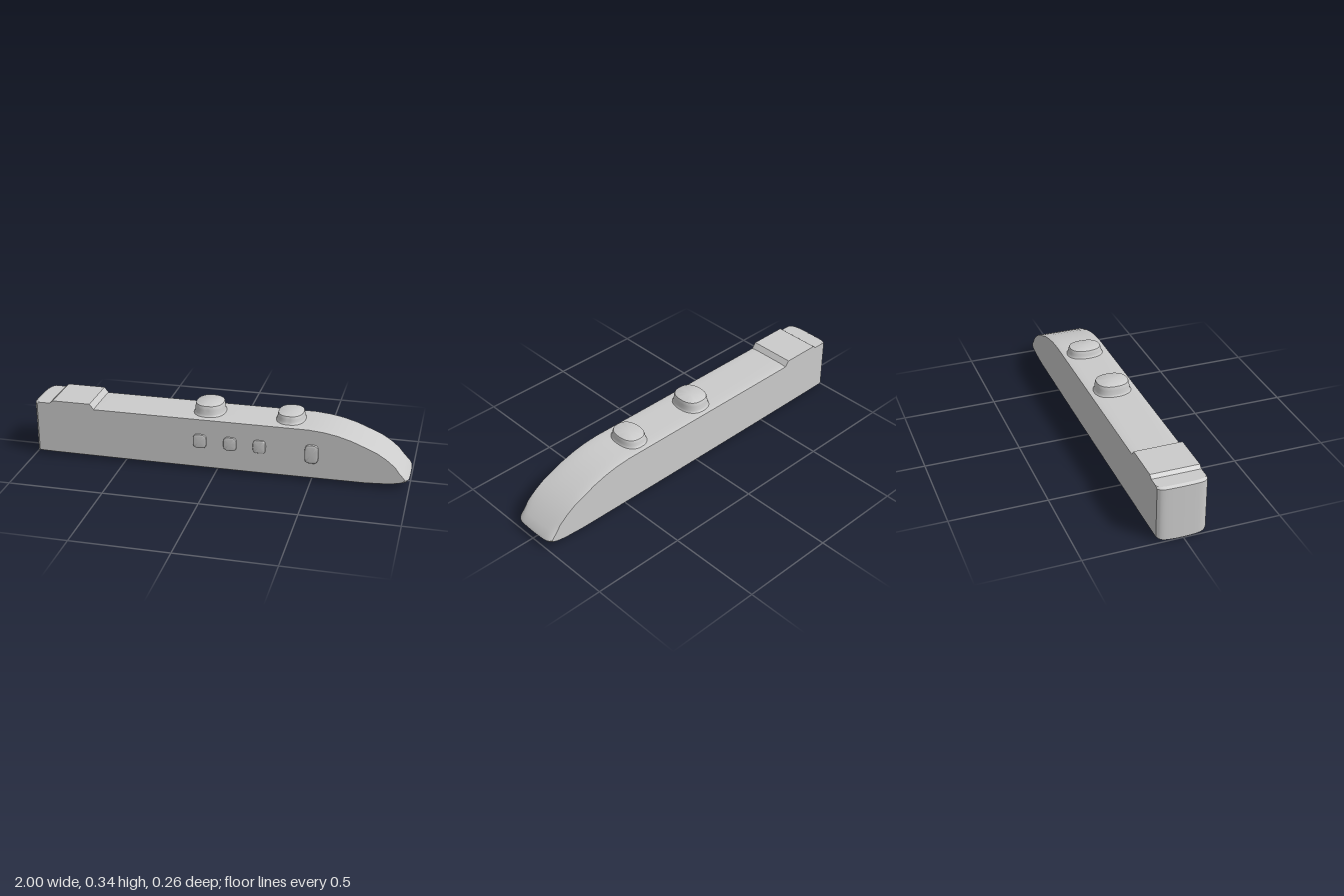
import * as THREE from 'three';
import { toCreasedNormals } from 'three/addons/utils/BufferGeometryUtils.js';

const material = new THREE.MeshStandardMaterial({ color: 0xcccccc });
const BACK = -0.13, FRONT = 0.12;

// Side outline of the body, counter-clockwise in x and y
const OUTLINE = [
  [-1, 0.004], [-0.9, 0.002], [-0.4, 0], [0.2, 0], [0.78, 0.004], [0.9, 0.013], [0.96, 0.024],
  [0.99, 0.034], [1, 0.048], [0.993, 0.062], [0.965, 0.09], [0.93, 0.123], [0.88, 0.16],
  [0.83, 0.191], [0.77, 0.22], [0.7, 0.248], [0.63, 0.268], [0.56, 0.281], [0.48, 0.288],
  [-0.662, 0.288], [-0.685, 0.313], [-0.89, 0.313], [-0.908, 0.298], [-0.985, 0.298], [-1, 0.29],
];

// Bow the ends and underside so that they soften towards the flat sides
function bodyPoint([x, y], u) {
  const bow = 0.004 * u * u + 0.018 * Math.abs(u) ** 9;
  const end = THREE.MathUtils.smoothstep(Math.abs(x), 0.9, 1);
  const low = Math.max(0, 1 - y / 0.08);
  const deck = y > 0.2 && y < 0.29 ? 0.004 * Math.abs(u) ** 6 : 0;
  const z = THREE.MathUtils.lerp(BACK, FRONT, (u + 1) / 2);
  return [x - Math.sign(x) * end * bow, y + low * (0.007 * u * u + 0.011 * Math.abs(u) ** 8) - deck, z];
}

function bodyGeometry() {
  const rows = 24, n = OUTLINE.length, positions = [], index = [];
  for (let i = 0; i <= rows; i++) {
    const u = Math.sin((i / rows - 0.5) * Math.PI); // closer rows near the sides
    for (const p of OUTLINE) positions.push(...bodyPoint(p, u));
  }
  for (let i = 0; i < rows; i++) {
    for (let j = 0; j < n; j++) {
      const k = (j + 1) % n, a = i * n + j, b = i * n + k, c = a + n, d = b + n;
      index.push(a, b, d, a, d, c);
    }
  }
  // Flat sides
  const contour = OUTLINE.map((p) => new THREE.Vector2(...bodyPoint(p, 1)));
  for (const [a, b, c] of THREE.ShapeUtils.triangulateShape(contour, [])) {
    index.push(rows * n + a, rows * n + b, rows * n + c, c, b, a);
  }
  const geometry = new THREE.BufferGeometry();
  geometry.setAttribute('position', new THREE.Float32BufferAttribute(positions, 3));
  geometry.setIndex(index);
  return toCreasedNormals(geometry, 0.42);
}

// Lathe widened into a superellipse; profile radii are relative to rx and rz
function padGeometry(profile, rx, rz, power) {
  const geometry = new THREE.LatheGeometry(profile.map((p) => new THREE.Vector2(...p)), 48);
  const pos = geometry.attributes.position;
  for (let i = 0; i < pos.count; i++) {
    const x = pos.getX(i), z = pos.getZ(i), r = Math.hypot(x, z);
    if (r < 1e-6) continue;
    const c = Math.abs(x / r), s = Math.abs(z / r);
    const k = (c ** power + s ** power) ** (-1 / power);
    pos.setX(i, x * k * rx);
    pos.setZ(i, z * k * rz);
  }
  return toCreasedNormals(geometry, 0.6);
}

export function createModel() {
  const model = new THREE.Group();
  const add = (name, geometry, x = 0, y = 0, z = 0) => {
    const mesh = new THREE.Mesh(geometry, material);
    mesh.name = name;
    mesh.position.set(x, y, z);
    model.add(mesh);
    return mesh;
  };

  add('body', bodyGeometry());

  // Knobs on the top, flared where they meet the body
  for (const [name, x, rx, rz, top] of [
    ['rearKnob', -0.06, 0.076, 0.088, 0.345],
    ['frontKnob', 0.37, 0.069, 0.088, 0.33],
  ]) {
    const h = top - 0.285;
    add(name, padGeometry([
      [1.13, 0], [1.07, 0.006], [1.03, 0.016], [1, h * 0.6], [0.97, h * 0.85], [0.94, h * 0.95], [0.88, h], [0, h],
    ], rx, rz, 2.4), x, 0.285, -0.008);
  }

  // Small buttons on the front side
  for (const [name, x, y, rx, ry, h] of [
    ['sideButton1', -0.087, 0.165, 0.036, 0.038, 0.012],
    ['sideButton2', 0.074, 0.165, 0.035, 0.037, 0.012],
    ['sideButton3', 0.228, 0.165, 0.034, 0.036, 0.009],
    ['tallSideButton', 0.5, 0.153, 0.036, 0.051, 0.013],
  ]) {
    const button = add(name, padGeometry([
      [1, -0.004], [1, h * 0.55], [0.96, h * 0.8], [0.87, h * 0.95], [0.75, h], [0, h],
    ], rx, ry, 3.6), x, y, FRONT);
    button.rotation.x = Math.PI / 2;
  }
  return model;
}
